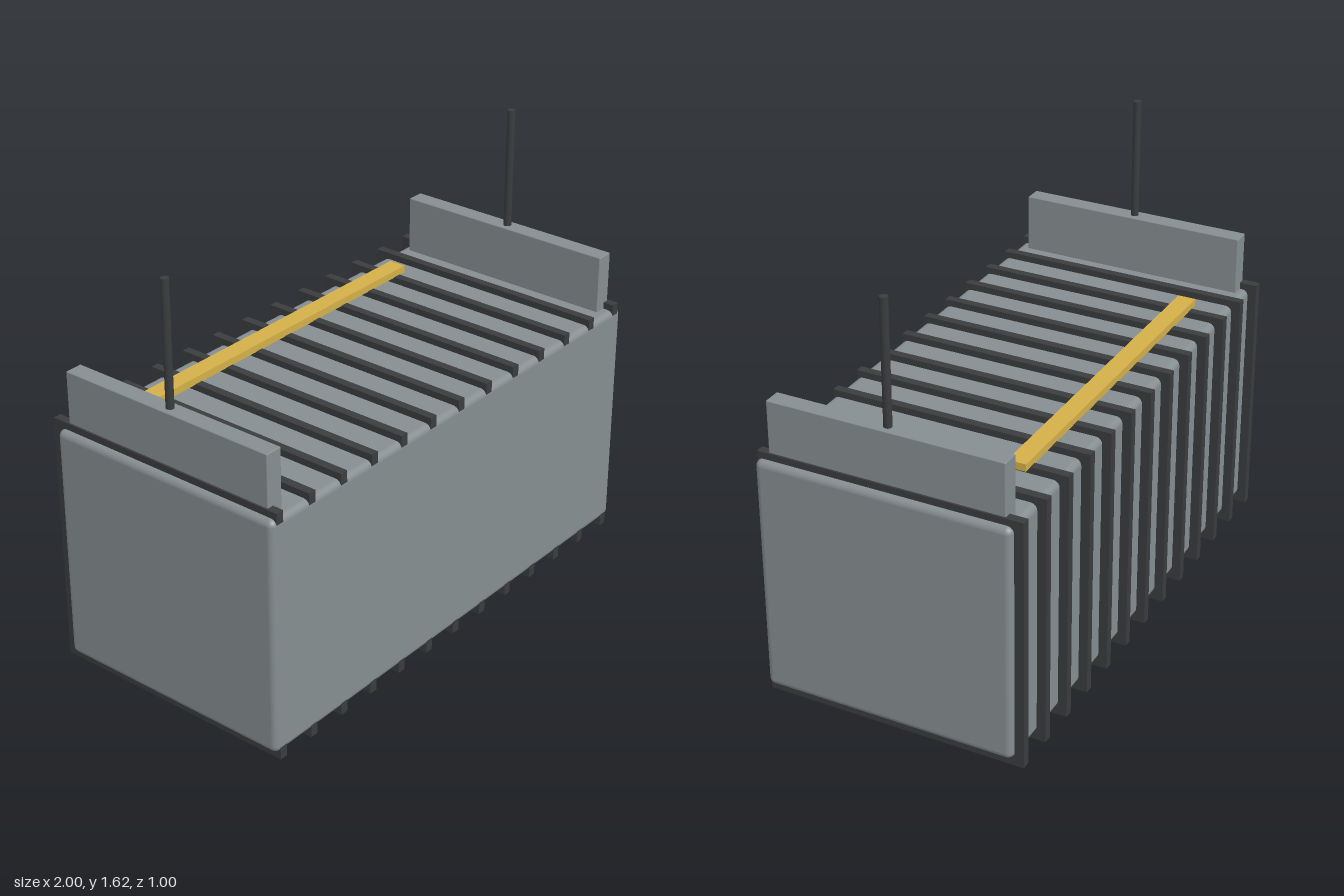
import * as THREE from 'three';
import { RoundedBoxGeometry } from 'three/addons/geometries/RoundedBoxGeometry.js';

const grey = new THREE.MeshStandardMaterial({ color: 0x868e91 });
const dark = new THREE.MeshStandardMaterial({ color: 0x3a3c3e });
const yellow = new THREE.MeshStandardMaterial({ color: 0xd4b04a });

export function createModel() {
  const model = new THREE.Group();
  model.name = 'ribbedTank';

  const add = (name, geometry, material, x, y, z) => {
    const mesh = new THREE.Mesh(geometry, material);
    mesh.name = name;
    mesh.position.set(x, y, z);
    model.add(mesh);
  };

  // Main casing with softly rounded edges
  add('casing', new RoundedBoxGeometry(2, 0.905, 0.962, 3, 0.025), grey, 0, 0.4825, 0.015);

  // Ribs wrapped around top, back and bottom, flush with the front
  const rib = new THREE.BoxGeometry(0.032, 0.96, 0.995);
  for (let i = -6; i <= 6; i++) add('rib', rib, dark, i * 0.16, 0.48, -0.0025);

  // Yellow rail lying across the ribs
  add('rail', new THREE.BoxGeometry(1.375, 0.028, 0.069), yellow, 0, 0.972, -0.324);

  // Upright end plates, each carrying a thin rod
  for (const side of [-1, 1]) {
    const x = side * 0.935;
    add('endPlate', new RoundedBoxGeometry(0.068, 0.23, 0.886, 2, 0.004), grey, x, 1.041, 0.01);
    add('rod', new THREE.CylinderGeometry(0.015, 0.015, 0.48, 12), dark, x, 1.38, 0.01);
  }
  return model;
}
